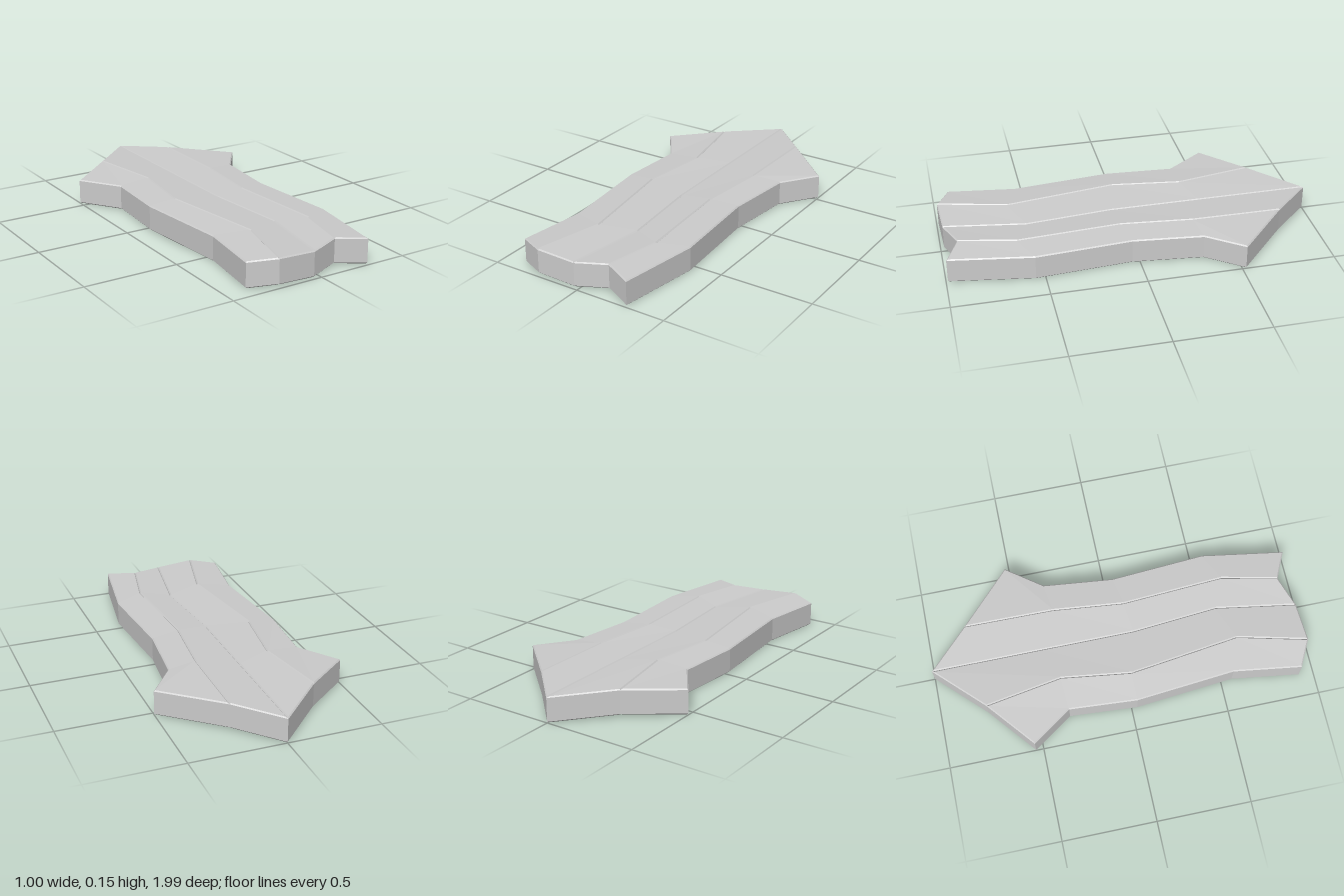
import * as THREE from 'three';

const THICK = 0.135, BEVEL = 0.006;

// Seam lines running front to back, as [x, z]; "lift" is the height of the underside
const seams = [
  { lift: 0.002, pts: [[-0.38, 0.92], [-0.33, 0.56], [-0.38, 0.03], [-0.355, -0.33], [-0.5, -0.54]] },
  { lift: 0.014, pts: [[-0.24, 0.99], [-0.15, 0.62], [-0.23, 0.03], [-0.18, -0.34], [-0.25, -0.75]] },
  { lift: 0.001, pts: [[-0.03, 0.98], [0.04, 0.55], [0, 0.09], [0, -0.4], [0, -1]] },
  { lift: 0.012, pts: [[0.135, 0.92], [0.2, 0.62], [0.165, 0.07], [0.205, -0.31], [0.21, -0.79]] },
  { lift: 0.002, pts: [[0.285, 0.99], [0.355, 0.55], [0.32, 0.04], [0.36, -0.33], [0.5, -0.52]] },
];

// Moves every corner of an outline inwards by d (mitred)
function inset(ring, d) {
  const n = ring.length;
  const normal = (p, q) => new THREE.Vector2(-(q.z - p.z), q.x - p.x).normalize();
  return ring.map((p, i) => {
    const a = normal(ring[(i + n - 1) % n], p), b = normal(p, ring[(i + 1) % n]);
    const m = a.clone().add(b).multiplyScalar(d / (1 + a.dot(b)));
    return { x: p.x + m.x, z: p.z + m.y, lift: p.lift };
  });
}

// One plank between two neighbouring seams, bevelled above and below
function plankGeometry(left, right) {
  const corners = (s) => s.pts.map(([x, z]) => ({ x, z, lift: s.lift }));
  const outer = [...corners(left), ...corners(right).reverse()];
  const inner = inset(outer, BEVEL);
  const n = outer.length;
  const level = (ring, y) => ring.map((p) => [p.x, p.lift + y, p.z]);
  const rings = [level(inner, 0), level(outer, BEVEL), level(outer, THICK - BEVEL), level(inner, THICK)];

  const pos = [];
  const quad = (a, b, c, d) => pos.push(...a, ...b, ...c, ...a, ...c, ...d);
  // Walls and bevels
  for (let r = 0; r < 3; r++) {
    for (let i = 0; i < n; i++) {
      const j = (i + 1) % n;
      quad(rings[r][i], rings[r + 1][i], rings[r + 1][j], rings[r][j]);
    }
  }
  // Top and underside
  const [bottom, top] = [rings[0], rings[3]];
  for (let k = 0; k < n / 2 - 1; k++) {
    const m = n - 1 - k;
    quad(top[k], top[m], top[m - 1], top[k + 1]);
    quad(bottom[k], bottom[k + 1], bottom[m - 1], bottom[m]);
  }
  const geo = new THREE.BufferGeometry();
  geo.setAttribute('position', new THREE.Float32BufferAttribute(pos, 3));
  geo.computeVertexNormals();
  return geo;
}

export function createModel() {
  const group = new THREE.Group();
  group.name = 'arrowBoard';
  const material = new THREE.MeshStandardMaterial({ color: 0xcccccc, flatShading: true });
  const names = ['rightOuterPlank', 'rightInnerPlank', 'leftInnerPlank', 'leftOuterPlank'];
  names.forEach((name, i) => {
    const plank = new THREE.Mesh(plankGeometry(seams[i], seams[i + 1]), material);
    plank.name = name;
    group.add(plank);
  });
  return group;
}
